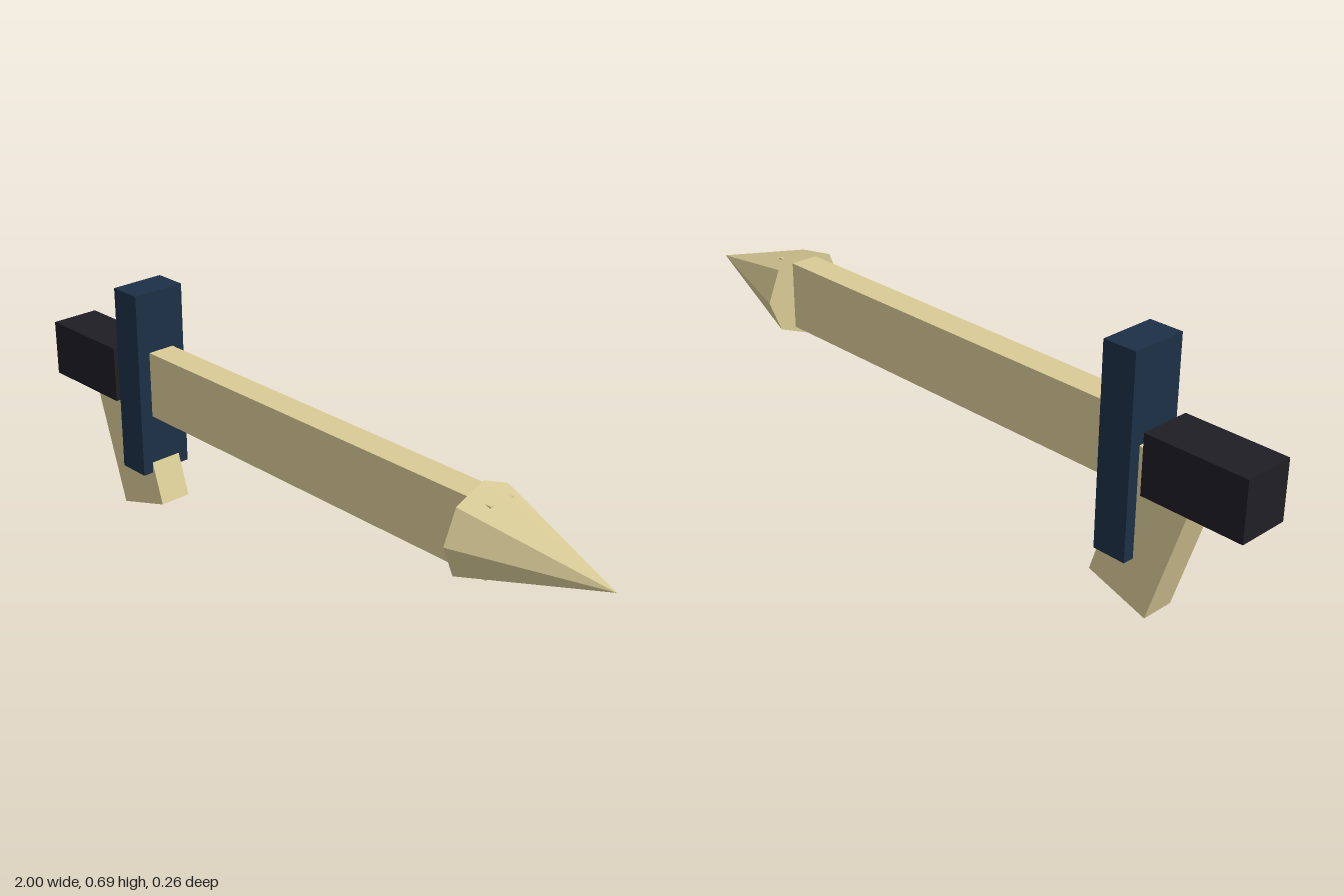
import * as THREE from 'three';

export function createModel() {
  const model = new THREE.Group();
  const paint = (color) => new THREE.MeshStandardMaterial({ color, flatShading: true });
  const tan = paint(0xd9cb96);
  const navy = paint(0x1c3046);
  const black = paint(0x1e1e24);

  const add = (name, geometry, material, x, y, tilt = 0) => {
    const mesh = new THREE.Mesh(geometry, material);
    mesh.name = name;
    mesh.position.set(x, y, 0);
    mesh.rotation.z = tilt;
    model.add(mesh);
    return mesh;
  };
  // Box given by its x and y limits and its full depth
  const block = (name, material, x0, x1, y0, y1, depth) =>
    add(name, new THREE.BoxGeometry(x1 - x0, y1 - y0, depth), material, (x0 + x1) / 2, (y0 + y1) / 2);

  // Long shaft, running into the point so its corners just break the surface
  block('shaft', tan, -0.63, 0.67, 0.327, 0.521, 0.082);

  // Eight-sided point facing +x
  add('point', new THREE.ConeGeometry(0.128, 0.39, 8), tan, 0.805, 0.424, -Math.PI / 2);

  // Upright cross guard
  block('guard', navy, -0.68, -0.584, 0.15, 0.697, 0.16);

  // Rear block
  block('rearBlock', black, -1, -0.71, 0.343, 0.505, 0.145);

  // Slanted grip
  add('grip', new THREE.BoxGeometry(0.189, 0.415, 0.096), tan, -0.698, 0.229, 0.307);

  return model;
}
